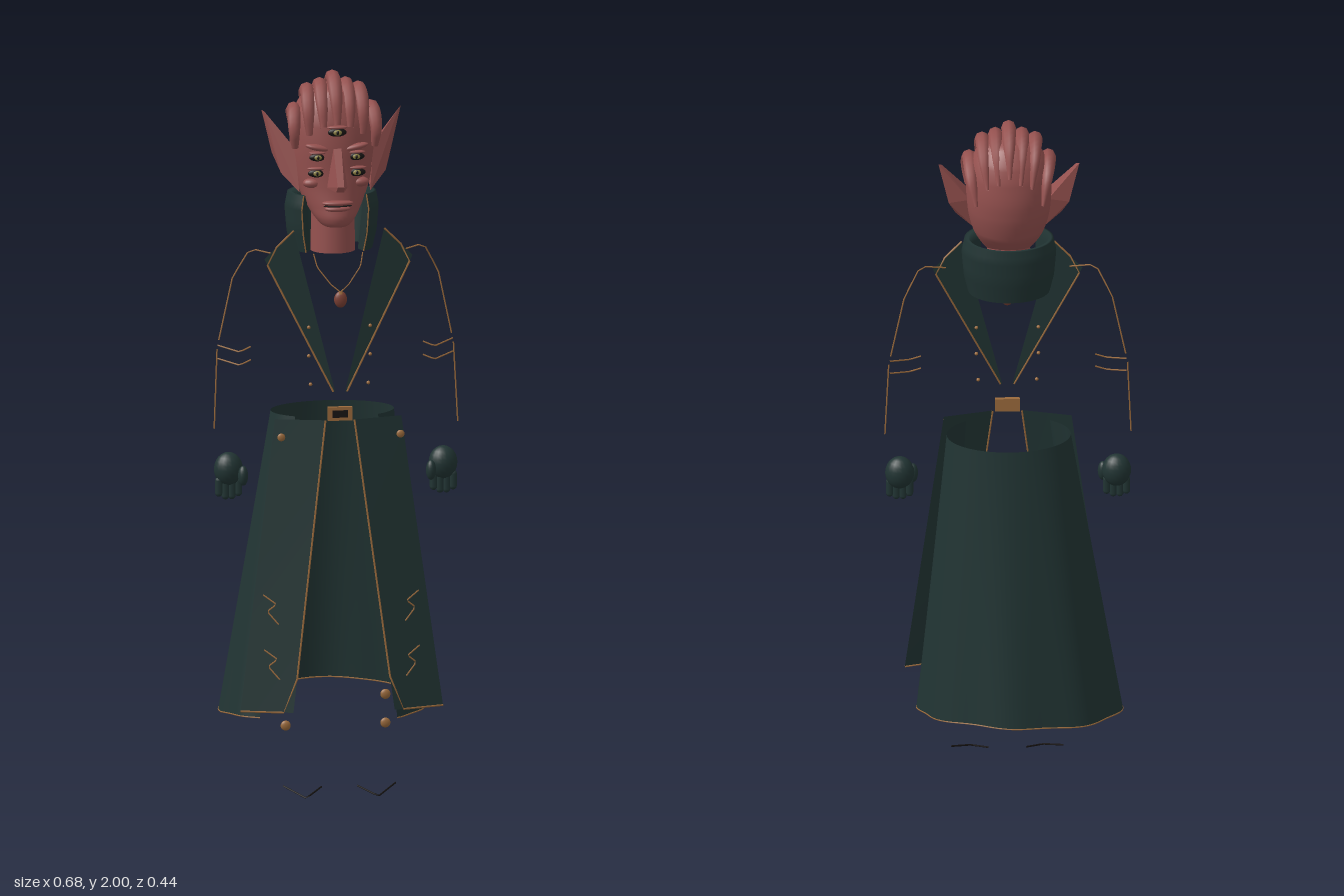
import * as THREE from 'three';
import { ParametricGeometry } from 'three/addons/geometries/ParametricGeometry.js';
import { ConvexGeometry } from 'three/addons/geometries/ConvexGeometry.js';

const V = (x, y, z) => new THREE.Vector3(x, y, z);
const mat = (name, color, side = THREE.FrontSide) => {
  const m = new THREE.MeshStandardMaterial({ color, side });
  m.name = name;
  return m;
};

export function createModel() {
  const root = new THREE.Group();
  root.name = 'coatedFigure';
  const skin = mat('dustyRedSkin', 0x95514f, THREE.DoubleSide);
  const coat = mat('darkTealCloth', 0x213433, THREE.DoubleSide);
  const brass = mat('copperTrim', 0x9a6a3c);
  const dark = mat('nearBlack', 0x171413);
  const gold = mat('eyeGold', 0x8f8444);
  const gem = mat('pendantRed', 0x7c4034);

  const add = (name, geo, m) => {
    const mesh = new THREE.Mesh(geo, m);
    mesh.name = name;
    root.add(mesh);
    return mesh;
  };
  const ball = (name, m, p, s) => {
    const b = add(name, new THREE.SphereGeometry(1, 18, 12), m);
    b.position.set(...p);
    b.scale.set(...s);
    return b;
  };
  // Straight-segmented thin cord
  const cord = (name, pts, r = 0.0022, m = brass) => {
    const path = new THREE.CurvePath();
    for (let i = 1; i < pts.length; i++) path.add(new THREE.LineCurve3(pts[i - 1], pts[i]));
    return add(name, new THREE.TubeGeometry(path, (pts.length - 1) * 4, r, 5), m);
  };
  // Tube whose radius follows a rule along its length
  const taper = (name, pts, radius, m) => {
    const n = 20, k = 8, curve = new THREE.CatmullRomCurve3(pts);
    const g = new THREE.TubeGeometry(curve, n, 1, k), pos = g.attributes.position;
    for (let i = 0; i <= n; i++) {
      const c = curve.getPointAt(i / n), r = radius(i / n);
      for (let j = 0; j <= k; j++) {
        const q = i * (k + 1) + j, p = V(0, 0, 0).fromBufferAttribute(pos, q).sub(c).multiplyScalar(r).add(c);
        pos.setXYZ(q, p.x, p.y, p.z);
      }
    }
    g.computeVertexNormals();
    return add(name, g, m);
  };
  // Four-cornered cloth sheet
  const sheet = (name, a, b, c, d, m) => add(name, new ParametricGeometry((u, v, t) => {
    t.copy(a).lerp(b, u).lerp(c.clone().lerp(d, u), v);
  }, 4, 8), m);

  // Skull and jaw: height, half width, back z, front z
  const rings = [
    [1.575, 0.004, 0.06, 0.07], [1.58, 0.035, 0.03, 0.1], [1.6, 0.055, 0.0, 0.11], [1.63, 0.074, -0.04, 0.107],
    [1.68, 0.097, -0.085, 0.1], [1.74, 0.112, -0.104, 0.098], [1.8, 0.117, -0.11, 0.1],
    [1.86, 0.114, -0.105, 0.096], [1.91, 0.097, -0.09, 0.083], [1.95, 0.065, -0.06, 0.062], [1.97, 0.004, 0, 0.006]];
  const widths = new THREE.CatmullRomCurve3(rings.map(r => V(r[1], r[0], 0)));
  const depths = new THREE.CatmullRomCurve3(rings.map(r => V(r[2], r[3], 0)));
  add('head', new ParametricGeometry((u, v, t) => {
    const w = widths.getPoint(v), d = depths.getPoint(v), a = u * Math.PI * 2;
    t.set(w.x * Math.sin(a), w.y, (d.x + d.y) / 2 + (d.y - d.x) / 2 * Math.cos(a));
  }, 40, 36), skin);
  const neck = add('neck', new THREE.CylinderGeometry(0.058, 0.062, 0.16, 24), skin);
  neck.position.set(0, 1.58, 0.01);

  // Swept-back locks of hair
  for (let i = -3; i <= 3; i++) {
    const x = i * 0.036, k = (i / 3) ** 2, peak = 1.982 - 0.075 * k - 0.012 * Math.abs(i % 2);
    taper('hairLock', [
      V(x * 1.02, 1.865 - 0.07 * k, 0.096 - 0.045 * k), V(x * 1.05, peak - 0.045, 0.072 - 0.015 * k),
      V(x, peak, 0.015), V(x * 0.96, peak - 0.03, -0.055), V(x * 0.85, peak - 0.1, -0.104 + 0.01 * k),
    ], t => 0.003 + 0.017 * Math.sin(Math.PI * Math.min(1, 0.12 + t * 0.85)), skin);
  }

  // Nose and mouth
  add('nose', new ConvexGeometry([V(-0.011, 1.8, 0.1), V(0.011, 1.8, 0.1), V(-0.03, 1.69, 0.088), V(0.03, 1.69, 0.088),
    V(-0.009, 1.705, 0.165), V(0.009, 1.705, 0.165), V(-0.011, 1.688, 0.15), V(0.011, 1.688, 0.15)]), skin);
  ball('upperLip', skin, [0, 1.648, 0.1], [0.044, 0.008, 0.017]);
  ball('lowerLip', skin, [0, 1.632, 0.1], [0.036, 0.009, 0.016]);
  ball('mouthLine', dark, [0, 1.64, 0.102], [0.04, 0.0025, 0.013]);

  const eye = (x, y, z, s) => {
    ball('eyeSocket', dark, [x, y, z], [0.026 * s, 0.012 * s, 0.008]);
    ball('iris', gold, [x, y, z + 0.005], [0.013 * s, 0.008 * s, 0.005]);
    ball('pupil', dark, [x, y, z + 0.0085], [0.004 * s, 0.006 * s, 0.003]);
    ball('eyelid', skin, [x, y + 0.014 * s, z], [0.029 * s, 0.005 * s, 0.01]);
  };
  eye(0, 1.845, 0.096, 1);

  // Front coat panel, z found from x and y
  const pz = (x, y) => {
    const v = (1.05 - y) / 0.8, xi = 0.04 + 0.1 * v, u = (x - xi) / (0.135 + 0.005 * v);
    return (0.145 + 0.077 * v) * (1 - u) + (0.11 + 0.07 * v) * u;
  };

  for (const s of [1, -1]) {
    const P = (x, y, z) => V(s * x, y, z);
    eye(s * 0.053, 1.775, 0.089, 0.9);
    eye(s * 0.055, 1.73, 0.086, 0.95);
    ball('brow', skin, [s * 0.052, 1.802, 0.088], [0.036, 0.009, 0.014]).rotation.z = s * 0.2;
    ball('cheekbone', skin, [s * 0.066, 1.7, 0.07], [0.026, 0.014, 0.018]);

    // Pointed ear
    add('ear', new ConvexGeometry([P(0.098, 1.67, 0.05), P(0.108, 1.79, 0.03), P(0.1, 1.69, 0.0), P(0.108, 1.78, -0.02),
      P(0.193, 1.89, -0.022), P(0.165, 1.77, -0.018), P(0.145, 1.72, 0.022), P(0.185, 1.885, -0.01)]), skin);

    // Lapel and its trim
    const top = P(0.125, 1.58, 0.125), wide = P(0.205, 1.5, 0.116), tip = P(0.014, 1.13, 0.148), tip2 = P(0.019, 1.13, 0.148);
    sheet('lapel', top, wide, tip, tip2, coat);
    cord('lapelTrim', [top, wide, tip2], 0.0028);

    // Coat front panel, trim and zigzag stitching
    const a = P(0.04, 1.05, 0.145), b = P(0.175, 1.05, 0.11), c = P(0.14, 0.25, 0.222), d = P(0.28, 0.25, 0.18);
    sheet('frontPanel', a, b, c, d, coat);
    cord('frontPanelTrim', [a, c, d], 0.0028);
    for (const y of [0.57, 0.42]) {
      cord('zigzagStitch', [[0.215, 0], [0.18, -0.025], [0.205, -0.045], [0.175, -0.08]].map(
        ([x, dy]) => P(x, y + dy, pz(x, y + dy) + 0.003)));
    }
    ball('panelButton', brass, [s * 0.165, 1.01, 0.163], [0.011, 0.011, 0.005]);

    // Small chest studs and boot buttons
    for (const [x, y] of [[0.085, 1.31], [0.085, 1.23], [0.08, 1.15]]) ball('chestStud', brass, [s * x, y, 0.135], [0.005, 0.005, 0.005]);
    for (const y of [0.26, 0.18]) ball('bootButton', brass, [s * 0.138, y, 0.062], [0.014, 0.014, 0.007]);

    // Sleeve seams and cuff bands
    cord('shoulderSeam', [P(0.17, 1.51, 0.105), P(0.24, 1.525, 0.085), P(0.285, 1.44, 0.06), P(0.322, 1.265, 0.056)]);
    cord('forearmSeam', [P(0.327, 1.24, 0.056), P(0.337, 1.02, 0.07)]);
    for (const y of [1.25, 1.213]) cord('cuffBand', [P(0.325, y, 0.055), P(0.27, y - 0.013, 0.09), P(0.238, y, 0.085)]);

    // Gloved hand with fingers and thumb
    ball('gloveHand', coat, [s * 0.297, 0.905, 0.064], [0.04, 0.047, 0.033]);
    for (let i = 0; i < 4; i++) {
      const f = add('gloveFinger', new THREE.CapsuleGeometry(0.0105, 0.035, 4, 8), coat);
      f.position.set(s * (0.27 + i * 0.018), 0.857 - (i % 3 ? 0.008 : 0), 0.07);
    }
    ball('gloveThumb', coat, [s * 0.26, 0.89, 0.09], [0.014, 0.028, 0.015]);

    // Necklace side and toe cap line
    cord('necklace', [P(0.068, 1.51, 0.11), P(0.06, 1.475, 0.125), P(0.025, 1.43, 0.145), P(0, 1.41, 0.155)], 0.0018);
    cord('toeLine', [P(0.155, 0.027, 0.135), P(0.1, 0.003, 0.19), P(0.05, 0.022, 0.135)], 0.0025, dark);
  }
  ball('pendant', gem, [0, 1.39, 0.156], [0.018, 0.023, 0.011]);
  cord('pendantSetting', [V(0, 1.412, 0.158), V(0, 1.404, 0.162)], 0.006);

  // Standing collar, open at the front
  const collarCut = [[0.112, 1.5], [0.124, 1.55], [0.13, 1.62], [0.122, 1.66], [0.11, 1.66], [0.104, 1.6], [0.092, 1.505], [0.112, 1.5]];
  const collarAt = (th, r, y) => V(r * Math.sin(th), y, -0.012 - r * 0.76 * Math.cos(th));
  add('collar', new ParametricGeometry((u, v, t) => {
    const f = Math.min(v * 7, 6.9999), i = Math.floor(f), k = f - i, p = collarCut[i], q = collarCut[i + 1];
    t.copy(collarAt((u - 0.5) * 4.7, p[0] + (q[0] - p[0]) * k, p[1] + (q[1] - p[1]) * k));
  }, 32, 14), coat);
  for (const th of [-2.35, 2.35]) {
    const [o0, o1, o2, o3, i3, i2, i0] = collarCut.map(([r, y]) => collarAt(th, r, y));
    sheet('collarEnd', o0, i0, o2, i2, coat);
    sheet('collarEndTop', o2, i2, o3, i3, coat);
    cord('collarTrim', [o0, o1, o2, o3], 0.002);
  }

  // Swaying coat skirt, wrapping the back and sides
  const skirtAt = (u, v) => {
    const th = (u - 0.5) * 4.8, back = Math.cos(th) > 0;
    const fold = 1 + v * 0.025 * Math.sin(th * 8 + 0.6);
    const rx = 0.17 + 0.107 * v, rz = 0.112 + (back ? 0.1 : 0.055) * v;
    const hem = 0.212 + 0.04 * Math.max(0, Math.cos(th)) + 0.006 * Math.sin(th * 2);
    return V(rx * fold * Math.sin(th) - 0.03 * v, 1.05 + (hem - 1.05) * v, -rz * fold * Math.cos(th));
  };
  add('coatSkirt', new ParametricGeometry((u, v, t) => t.copy(skirtAt(u, v)), 72, 16), coat);
  cord('skirtHemTrim', Array.from({ length: 49 }, (_, i) => skirtAt(i / 48, 1)), 0.002);

  // Belt buckle
  const buckle = add('beltBuckle', new THREE.BoxGeometry(0.068, 0.038, 0.012), brass);
  buckle.position.set(0, 1.068, 0.145);
  const plate = add('buckleCentre', new THREE.BoxGeometry(0.042, 0.02, 0.004), dark);
  plate.position.set(0, 1.068, 0.152);
  return root;
}
